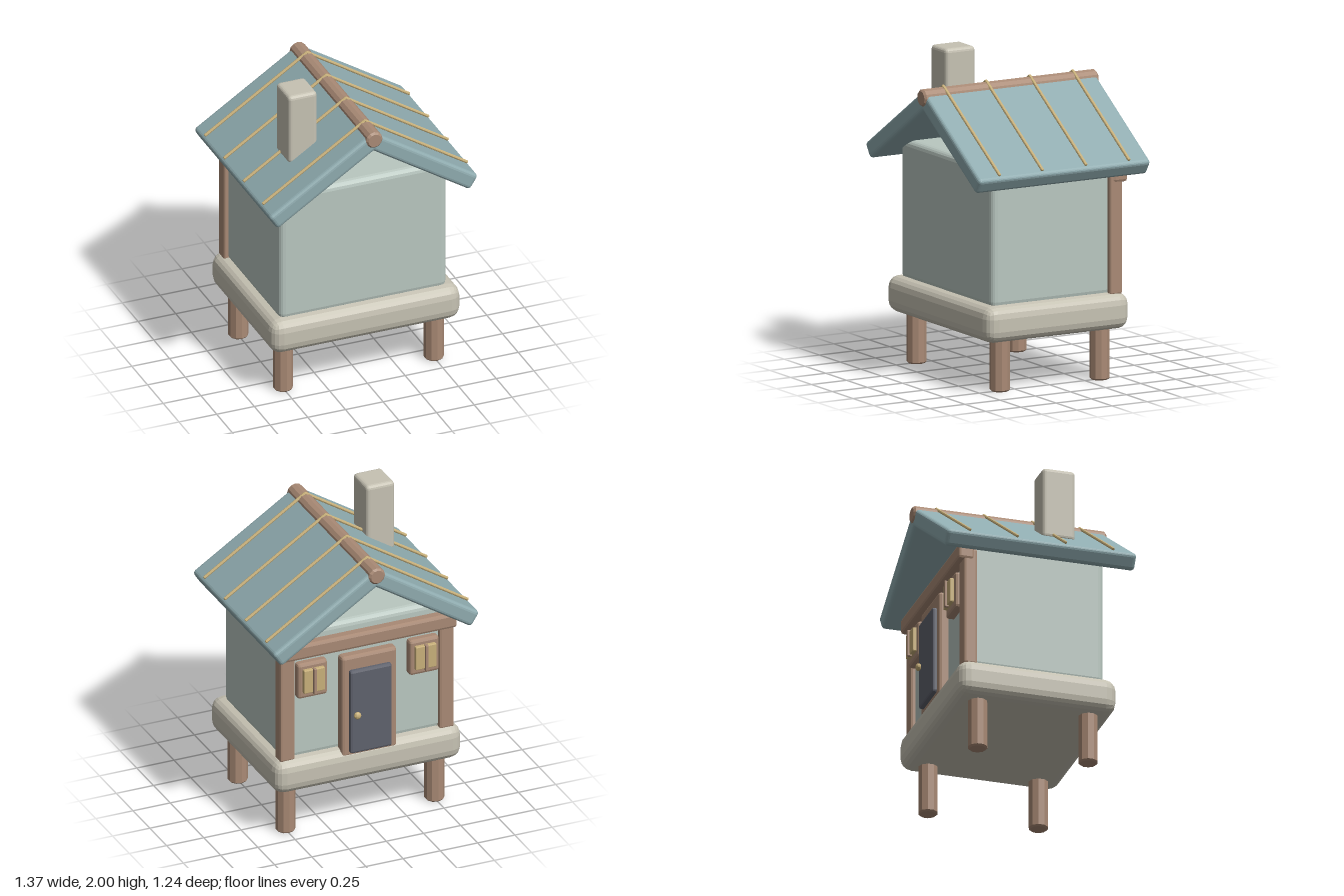
import * as THREE from 'three';
import { RoundedBoxGeometry } from 'three/addons/geometries/RoundedBoxGeometry.js';

const paint = (color) => new THREE.MeshStandardMaterial({ color, flatShading: true });

export function createModel() {
  const house = new THREE.Group();
  house.name = 'stiltHut';
  const stone = paint(0xc6c2b3), plaster = paint(0xb9c7c0), tile = paint(0x8fabaf);
  const wood = paint(0xa98a75), gold = paint(0xc8b07a), slate = paint(0x5f626d);

  const add = (name, geometry, material, x, y, z) => {
    const mesh = new THREE.Mesh(geometry, material);
    mesh.name = name;
    mesh.position.set(x, y, z);
    house.add(mesh);
    return mesh;
  };
  // Softened box given by its size and centre
  const block = (name, material, [w, h, d], [x, y, z], r = 0.015, segments = 1) =>
    add(name, new RoundedBoxGeometry(w, h, d, segments, r), material, x, y, z);
  // Round pole with chamfered ends, standing along y
  const pole = (radius, length, sides, c = 0.01) => new THREE.LatheGeometry([
    [0, -length / 2], [radius - c, -length / 2], [radius, -length / 2 + c],
    [radius, length / 2 - c], [radius - c, length / 2], [0, length / 2],
  ].map(([a, b]) => new THREE.Vector2(a, b)), sides);

  // Stilts, plinth and walls
  for (const x of [-0.5, 0.5]) for (const z of [-0.355, 0.355])
    add('stilt', pole(0.062, 0.36, 10), wood, x, 0.185, z);
  block('plinth', stone, [1.26, 0.23, 1.02], [0, 0.437, 0], 0.075, 2);
  block('walls', plaster, [1.11, 0.88, 0.88], [0, 0.97, 0], 0.04, 2);

  // Timber framing on the door side
  for (const s of [-1, 1])
    block('cornerPost', wood, [0.1, 0.78, 0.09], [s * 0.535, 0.925, -0.425]);
  block('lintelBeam', wood, [1.18, 0.1, 0.105], [0, 1.288, -0.452], 0.018);

  // Door
  block('doorFrame', wood, [0.37, 0.69, 0.08], [0, 0.845, -0.462], 0.018);
  block('door', slate, [0.28, 0.57, 0.05], [0, 0.815, -0.506], 0.014);
  const knob = add('doorKnob', new THREE.SphereGeometry(0.024, 12, 8), gold, 0.1, 0.797, -0.544);
  knob.scale.z = 0.75;

  // Windows with a centre bar
  for (const s of [-1, 1]) {
    block('windowFrame', wood, [0.2, 0.24, 0.07], [s * 0.375, 1.08, -0.455], 0.018);
    block('windowPane', gold, [0.14, 0.16, 0.03], [s * 0.375, 1.085, -0.5], 0.006);
    block('windowBar', wood, [0.02, 0.175, 0.03], [s * 0.375, 1.083, -0.515], 0.004);
  }

  // Roof slabs, each pitched down from the ridge, with battens laid on top
  const pitch = Math.atan2(0.41, 0.635);
  const cos = Math.cos(pitch), sin = Math.sin(pitch);
  for (const s of [-1, 1]) {
    const slab = block('roofSlab', tile, [0.82, 0.108, 1.22], [s * 0.322, 1.547, 0], 0.024, 2);
    slab.rotation.z = -s * pitch;
    for (const z of [-0.46, -0.155, 0.155, 0.46]) {
      const length = 0.815;
      const batten = add('roofBatten', pole(0.01, length, 8, 0.004), gold,
        s * (0.68 - cos * length / 2), 1.392 + sin * length / 2, z);
      batten.rotation.z = Math.PI / 2 - s * pitch;
    }
  }
  const ridge = add('ridgePole', pole(0.055, 1.24, 12, 0.012), wood, 0, 1.772, 0);
  ridge.rotation.x = Math.PI / 2;

  // Chimney
  block('chimney', stone, [0.192, 0.47, 0.212], [-0.34, 1.765, 0.19], 0.025, 2);

  return house;
}
